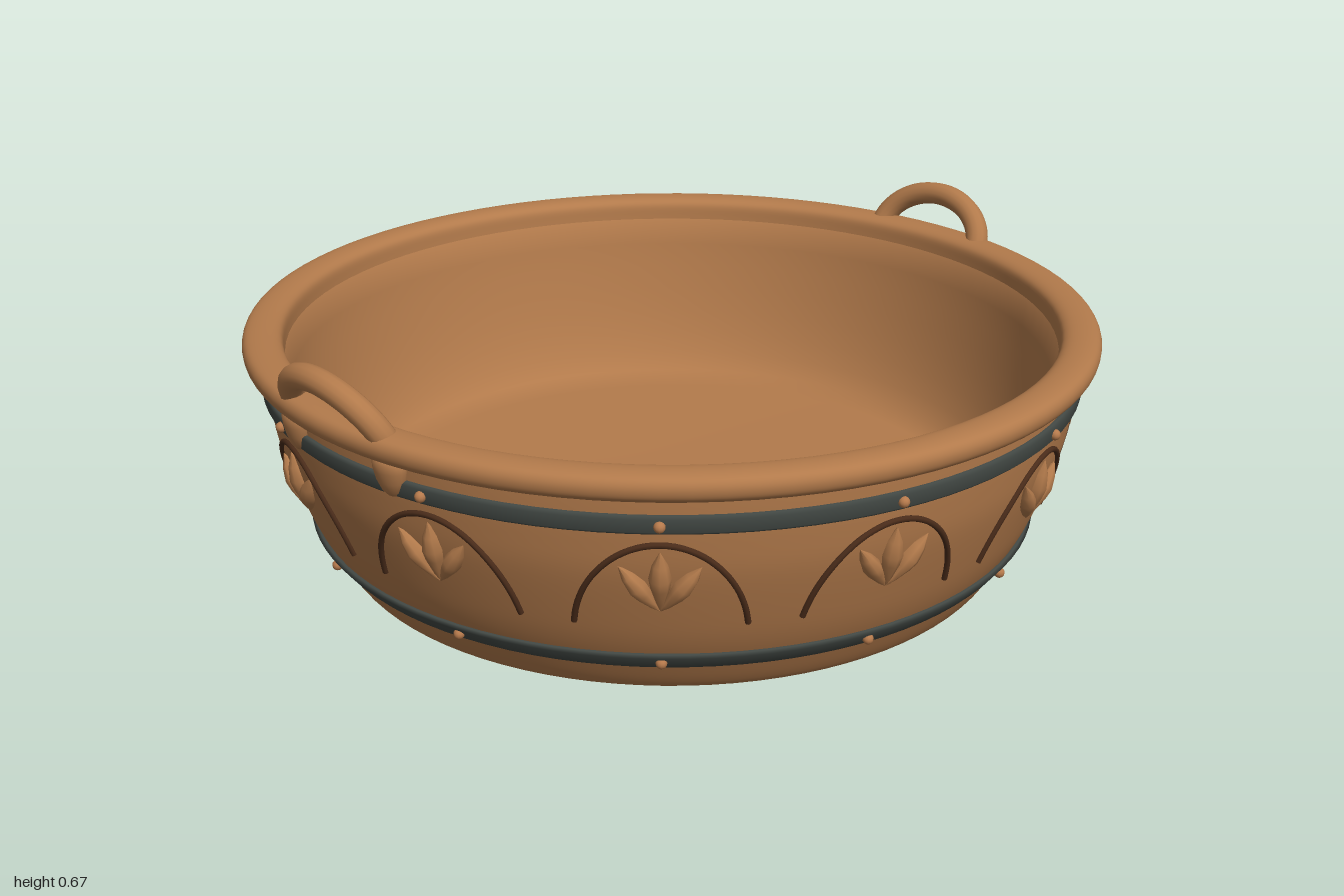
import * as THREE from 'three';

const mat = (name, color) => {
  const m = new THREE.MeshStandardMaterial({ color });
  m.name = name;
  return m;
};
const V2 = (x, y) => new THREE.Vector2(x, y);

export function createModel() {
  const clay = mat('clay', 0xb27a4b);
  const iron = mat('dark iron', 0x424844);
  const groove = mat('dark brown', 0x4a2c1a);
  const copper = mat('copper', 0xb67a4c);

  const model = new THREE.Group();
  model.name = 'basin';
  const add = (parent, name, geometry, material) => {
    const mesh = new THREE.Mesh(geometry, material);
    mesh.name = name;
    parent.add(mesh);
    return mesh;
  };
  // Group on the +z side, turned around the basin
  const turned = (name, angle) => {
    const g = new THREE.Group();
    g.name = name;
    g.rotation.y = angle;
    model.add(g);
    return g;
  };

  // Bulging outer wall profile, also used to seat the decoration
  const wall = new THREE.SplineCurve([
    V2(0.745, 0.002), V2(0.768, 0.013), V2(0.788, 0.038), V2(0.815, 0.085), V2(0.849, 0.15),
    V2(0.876, 0.22), V2(0.91, 0.33), V2(0.924, 0.41), V2(0.931, 0.48), V2(0.934, 0.535),
  ]).getPoints(54);
  const wallRadius = (y) => {
    const i = Math.max(1, wall.findIndex((p) => p.y >= y));
    const a = wall[i - 1], b = wall[i];
    return a.x + ((b.x - a.x) * (y - a.y)) / (b.y - a.y);
  };

  // Bowl: underside, outer wall, then the thicker inner wall and the floor
  const inner = [
    V2(0.886, 0.535), V2(0.873, 0.45), V2(0.861, 0.39), V2(0.847, 0.33), V2(0.831, 0.27),
    V2(0.812, 0.215), V2(0.79, 0.165), V2(0.762, 0.122), V2(0.72, 0.092), V2(0, 0.088),
  ];
  add(model, 'bowl', new THREE.LatheGeometry(
    [V2(0, 0), V2(0.72, 0), V2(0.738, 0), ...wall, ...inner], 96), clay);

  // Rounded rim with a sloping underside
  const rim = new THREE.SplineCurve([
    V2(0.925, 0.494), V2(0.938, 0.508), V2(0.96, 0.515), V2(0.973, 0.528), V2(0.976, 0.548), V2(0.967, 0.564),
    V2(0.945, 0.571), V2(0.918, 0.571), V2(0.898, 0.565), V2(0.887, 0.552), V2(0.884, 0.525), V2(0.882, 0.5),
  ]).getPoints(44);
  add(model, 'rim', new THREE.LatheGeometry(rim, 96), clay);

  // Iron bands with rivets
  for (const [name, y] of [['upperBand', 0.456], ['lowerBand', 0.106]]) {
    const lo = y - 0.02, hi = y + 0.02;
    const rl = wallRadius(lo), rh = wallRadius(hi);
    add(model, name, new THREE.LatheGeometry([
      V2(rl - 0.005, lo), V2(rl + 0.006, lo), V2(rl + 0.012, lo + 0.006),
      V2(rh + 0.012, hi - 0.006), V2(rh + 0.006, hi), V2(rh - 0.005, hi),
    ], 96), iron);
    for (let i = 0; i < 12; i++) {
      const g = turned(name + 'Rivet', ((i + 0.5) * Math.PI) / 6);
      const rivet = add(g, 'rivet', new THREE.SphereGeometry(0.012, 12, 8), copper);
      rivet.position.set(0, y, wallRadius(y) + 0.014);
    }
  }

  // Arch following the curved wall
  const archPoints = [];
  for (let i = 0; i <= 20; i++) {
    const t = -1.35 + (i / 20) * 2.7;
    const y = 0.41 - 0.2 * (1 - Math.cos(t)) / (1 - Math.cos(1.35));
    const a = 0.203 * Math.sin(t), r = wallRadius(y) + 0.002;
    archPoints.push(new THREE.Vector3(r * Math.sin(a), y, r * Math.cos(a)));
  }
  const archGeo = new THREE.TubeGeometry(new THREE.CatmullRomCurve3(archPoints), 40, 0.0065, 8);

  // Slender pointed leaf, base at the origin
  const leafGeo = new THREE.LatheGeometry(
    [V2(0, 0), V2(0.4, 0.15), V2(0.85, 0.4), V2(1, 0.56), V2(0.7, 0.78), V2(0, 1)], 8);

  for (let i = 0; i < 12; i++) {
    const g = turned('archMotif', ((i + 0.5) * Math.PI) / 6);
    add(g, 'arch', archGeo, groove);
    const sprig = new THREE.Group();
    sprig.name = 'sprig';
    sprig.position.set(0, 0.25, wallRadius(0.25) + 0.006);
    sprig.rotation.x = 0.23;
    g.add(sprig);
    for (const [tilt, length, width] of [[0, 0.15, 0.023], [0.62, 0.14, 0.02], [-0.62, 0.14, 0.02]]) {
      const leaf = add(sprig, 'leaf', leafGeo, clay);
      leaf.scale.set(width, length, 0.023);
      leaf.rotation.z = tilt;
    }
  }

  // Teardrop lug under the rim
  const lugGeo = new THREE.LatheGeometry([
    V2(0, -0.046), V2(0.014, -0.043), V2(0.026, -0.032), V2(0.036, -0.01), V2(0.041, 0.014),
    V2(0.041, 0.032), V2(0.03, 0.042), V2(0, 0.046),
  ], 20);

  // Looped handles leaning outward on both sides
  for (const side of [1, -1]) {
    const points = [];
    for (let i = 0; i <= 16; i++) {
      const t = (i / 16) * Math.PI, rise = Math.sin(t);
      points.push(new THREE.Vector3(side * (0.918 + 0.054 * rise), 0.54 + 0.107 * rise, 0.158 * Math.cos(t)));
    }
    const name = side > 0 ? 'leftHandle' : 'rightHandle';
    add(model, name, new THREE.TubeGeometry(new THREE.CatmullRomCurve3(points), 48, 0.028, 14), clay);
    for (const end of [1, -1]) {
      const g = turned(name + 'Lug', side * Math.PI / 2 + end * 0.176);
      const lug = add(g, 'lug', lugGeo, clay);
      lug.position.set(0, 0.48, 0.935);
      lug.scale.z = 0.65;
      lug.rotation.x = 0.1;
    }
  }
  return model;
}
